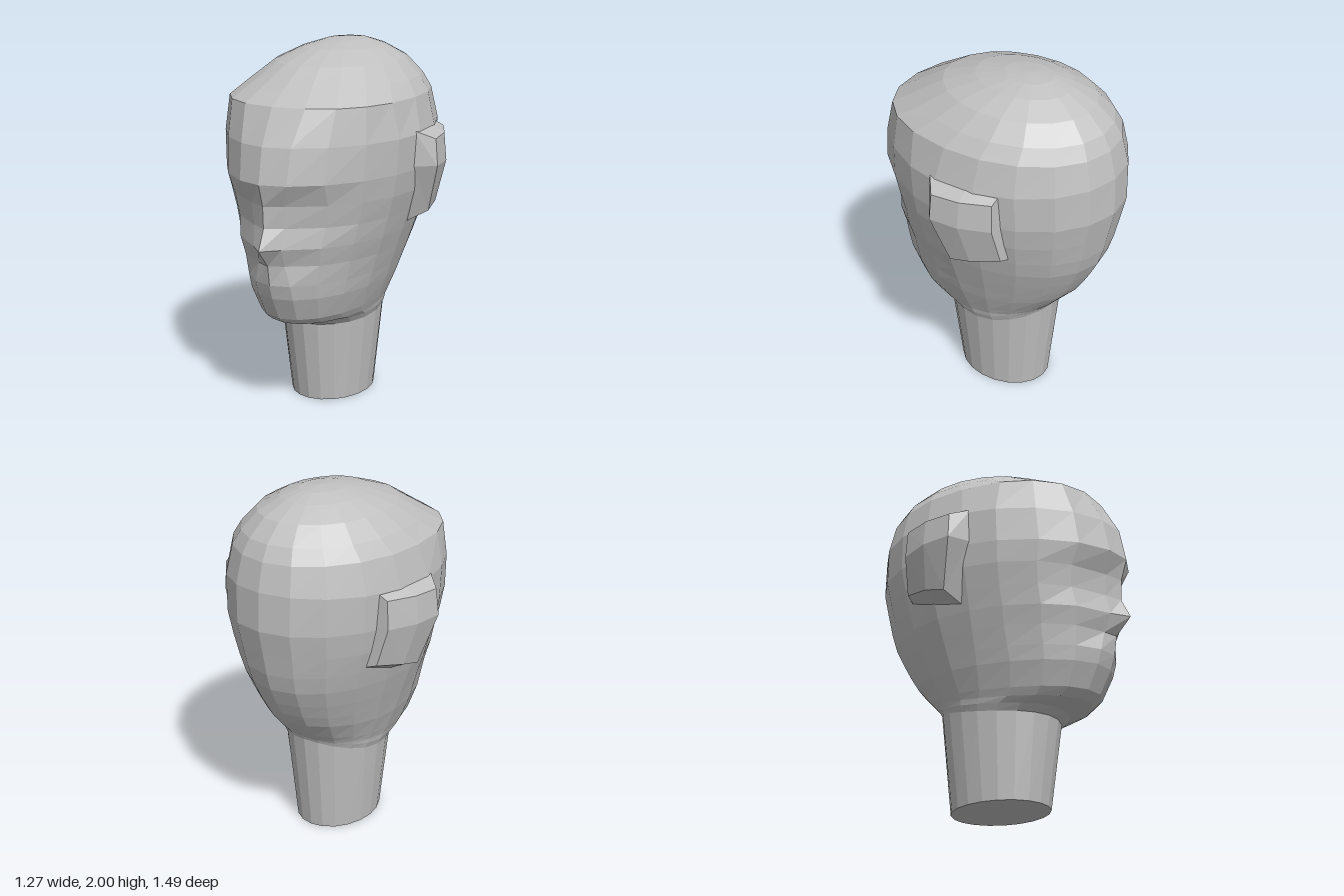
import * as THREE from 'three';

const SEG = 20;

// Faceted geometry from points and triangle indices
function faceted(points, index) {
  const g = new THREE.BufferGeometry();
  g.setAttribute('position', new THREE.Float32BufferAttribute(points.flat(), 3));
  g.setIndex(index);
  const flat = g.toNonIndexed();
  flat.computeVertexNormals();
  return flat;
}

// One cross-section: front half is a superellipse of power n, back half an ellipse
function ring([yF, yB, front, back, w, zc, n, nose = 0, socket = 0]) {
  const pts = [];
  for (let j = 0; j < SEG; j++) {
    const a = (j / SEG) * Math.PI * 2;
    const s = Math.sin(a), c = Math.cos(a);
    const e = c > 0 ? 2 / n : 1;
    let x = Math.sign(s) * w * Math.abs(s) ** e;
    let z = zc + (c > 0 ? front - zc : back - zc) * Math.abs(c) ** e;
    const side = Math.min(j, SEG - j);
    const t = (front - z) / (front - back);
    const y = yF + (yB - yF) * t ** 3;
    // Nose ridge and shallow eye sockets
    if (nose && side === 1) x *= 0.7;
    if (side === 0) z += nose;
    if (side === 1) z += nose * 0.3;
    if (side === 2) z -= socket;
    pts.push([x, y, z]);
  }
  return pts;
}

function loft(rows, bottomCap, apex) {
  const points = rows.flatMap(ring);
  const index = [];
  for (let i = 0; i < rows.length - 1; i++) {
    for (let j = 0; j < SEG; j++) {
      const k = (j + 1) % SEG;
      const a = i * SEG + j, b = i * SEG + k;
      index.push(a, b, b + SEG, a, b + SEG, a + SEG);
    }
  }
  const fan = (start, centre, up) => {
    points.push(centre);
    const m = points.length - 1;
    for (let j = 0; j < SEG; j++) {
      const a = start + j, b = start + ((j + 1) % SEG);
      index.push(...(up ? [a, b, m] : [b, a, m]));
    }
  };
  if (bottomCap) fan(0, bottomCap, false);
  if (apex) fan((rows.length - 1) * SEG, apex, true);
  return faceted(points, index);
}

// Ear: 3 x 3 outer plate (top to bottom, front to back) with walls sunk into the head
function earGeometry(side) {
  const outer = [
    [0.62, 1.505, -0.04], [0.595, 1.51, -0.2], [0.52, 1.515, -0.355],
    [0.635, 1.36, -0.035], [0.61, 1.36, -0.2], [0.53, 1.36, -0.36],
    [0.555, 1.09, -0.1], [0.54, 1.12, -0.22], [0.47, 1.15, -0.37],
  ];
  const base = [
    [0.53, 1.555, 0.045], [0.51, 1.55, -0.19], [0.42, 1.565, -0.355],
    [0.53, 1.36, 0.04], [0.5, 1.36, -0.2], [0.42, 1.36, -0.365],
    [0.45, 1.03, -0.04], [0.43, 1.06, -0.2], [0.36, 1.11, -0.375],
  ];
  const index = [];
  for (const a of [0, 1, 3, 4]) index.push(a, a + 3, a + 1, a + 3, a + 4, a + 1);
  const rim = [0, 3, 6, 7, 8, 5, 2, 1];
  rim.forEach((p, i) => {
    const q = rim[(i + 1) % rim.length];
    index.push(q, p, p + 9, q, p + 9, q + 9);
  });
  const points = [...outer, ...base].map(([x, y, z]) => [x * side, y, z]);
  return faceted(points, side > 0 ? index : index.reverse());
}

export function createModel() {
  const group = new THREE.Group();
  const clay = new THREE.MeshStandardMaterial({ color: 0xc0c0c0 });
  clay.name = 'grey clay';

  const add = (name, geometry) => {
    const mesh = new THREE.Mesh(geometry, clay);
    mesh.name = name;
    group.add(mesh);
  };

  // Columns: front y, back y, front z, back z, half width, widest z, front power, nose, socket
  const neckTop = [0.47, 0.58, 0.31, -0.37, 0.27, -0.04, 2];

  add('neck', loft([[0, 0, 0.245, -0.31, 0.222, -0.03, 2], neckTop], [0, 0, -0.03], null));

  add('head', loft([
    neckTop,
    // Jaw and chin
    [0.505, 0.6, 0.36, -0.38, 0.285, -0.03, 2],
    [0.53, 0.62, 0.5, -0.4, 0.292, -0.02, 2],
    [0.57, 0.65, 0.555, -0.43, 0.308, -0.01, 2],
    [0.7, 0.75, 0.62, -0.52, 0.355, 0, 1.95],
    [0.78, 0.82, 0.645, -0.565, 0.38, 0, 1.85],
    // Nose and eyes
    [0.89, 0.9, 0.655, -0.61, 0.415, 0, 1.8, 0.005],
    [0.99, 1.0, 0.68, -0.66, 0.448, 0, 1.8, 0.065],
    [1.1, 1.1, 0.67, -0.69, 0.48, 0, 1.8, 0.025, 0.015],
    [1.22, 1.22, 0.685, -0.715, 0.515, 0, 1.8, 0.015, 0.015],
    // Forehead
    [1.34, 1.36, 0.735, -0.745, 0.537, 0, 1.75],
    [1.53, 1.57, 0.7, -0.738, 0.548, 0, 1.8],
    [1.72, 1.72, 0.6, -0.7, 0.5, -0.03, 2.3],
    // Crown
    [1.8, 1.8, 0.47, -0.655, 0.435, -0.08, 2.1],
    [1.89, 1.89, 0.32, -0.56, 0.34, -0.12, 2],
    [1.955, 1.955, 0.13, -0.43, 0.215, -0.16, 2],
    [1.988, 1.988, -0.04, -0.32, 0.11, -0.19, 2],
  ], null, [0, 2, -0.2]));

  add('leftEar', earGeometry(1));
  add('rightEar', earGeometry(-1));
  return group;
}
